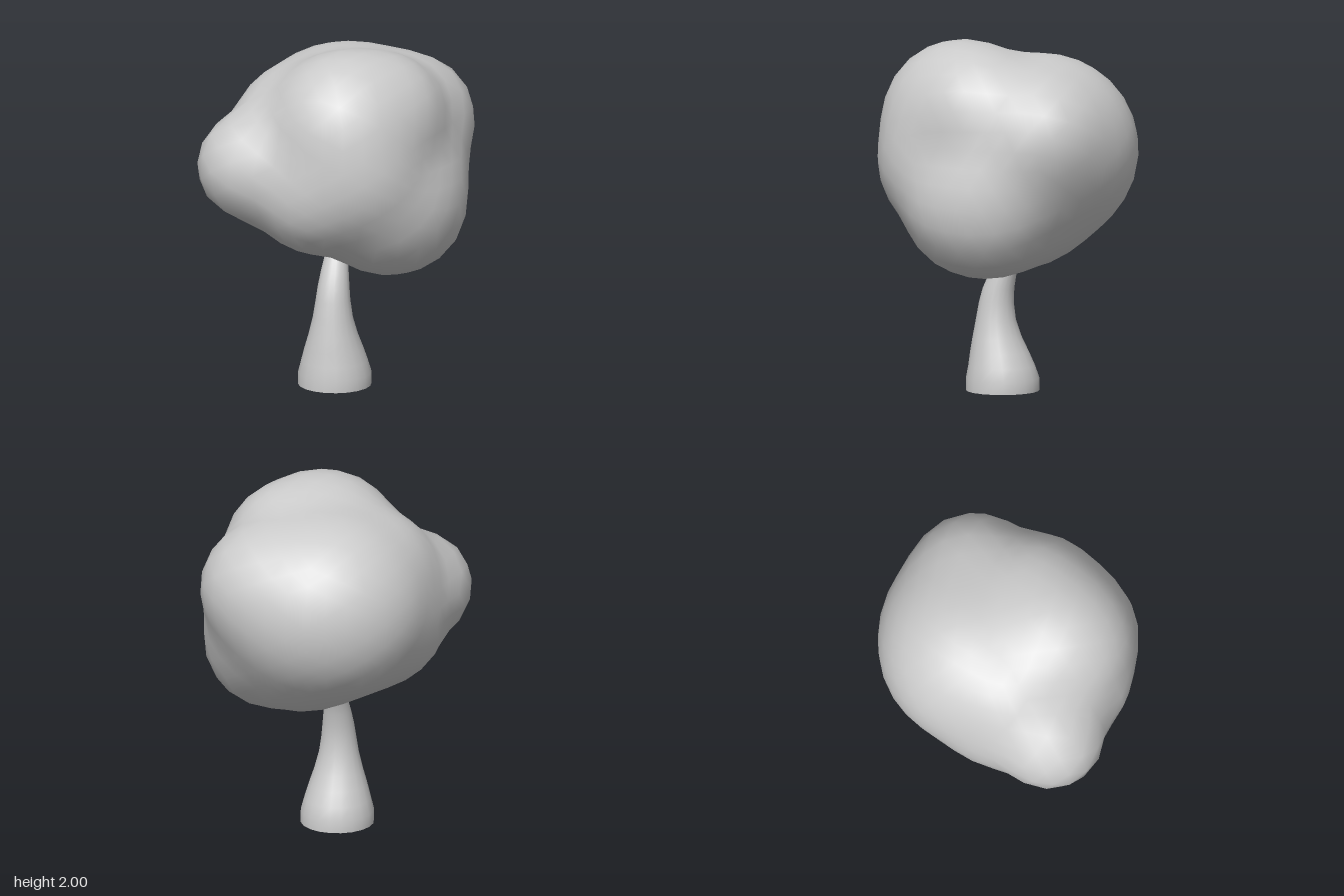
import * as THREE from 'three';
import { mergeVertices } from 'three/addons/utils/BufferGeometryUtils.js';

const material = new THREE.MeshStandardMaterial({ color: 0xcccccc });

// Weld seams so that the recomputed normals are smooth everywhere
function weld(geometry) {
  geometry.deleteAttribute('normal');
  geometry.deleteAttribute('uv');
  return mergeVertices(geometry, 1e-4);
}

// Foliage lobes: x, y, z, radius
const lobes = [
  [0.1, 1.56, 0.26, 0.435],    // upper front
  [0.28, 1.61, 0.1, 0.34],     // upper left
  [-0.42, 1.33, 0.37, 0.3],    // right-hand knob
  [-0.24, 1.24, 0.06, 0.39],   // filling behind and below the knob
  [-0.24, 1.5, 0.08, 0.33],    // filling above the knob
  [0.3, 1.1, 0.12, 0.4],       // low left
  [0.38, 1.04, -0.02, 0.31],   // lowest left corner
  [0.33, 1.25, -0.08, 0.355],  // left side
  [0.34, 1.5, -0.28, 0.345],   // back left
  [-0.05, 1.38, -0.18, 0.525], // back
  [0.1, 1.39, -0.25, 0.455],   // back middle
  [0.13, 1.13, -0.13, 0.385],  // underside
  [-0.03, 1.22, 0.34, 0.37],   // lower front
  [0.2, 1.32, 0.34, 0.35],     // middle front
];

// Smoothly blended distance to all the lobes
function distance(p) {
  const k = 0.05;
  let sum = 0;
  for (const [x, y, z, r] of lobes) {
    sum += Math.exp((r - Math.hypot(p.x - x, p.y - y, p.z - z)) / k);
  }
  return -k * Math.log(sum);
}

// Sphere whose vertices are pushed out along their rays to the blended surface
function crownGeometry() {
  const geometry = weld(new THREE.IcosahedronGeometry(1, 6));
  const pos = geometry.attributes.position;
  const centre = new THREE.Vector3(0, 1.35, 0.03);
  const dir = new THREE.Vector3();
  const p = new THREE.Vector3();
  for (let i = 0; i < pos.count; i++) {
    dir.fromBufferAttribute(pos, i).normalize();
    let near = 0, far = 1.2;
    for (let n = 0; n < 24; n++) {
      const mid = (near + far) / 2;
      p.copy(centre).addScaledVector(dir, mid);
      if (distance(p) < 0) near = mid; else far = mid;
    }
    pos.setXYZ(i, p.x, p.y, p.z);
  }
  geometry.computeVertexNormals();
  return geometry;
}

// Trunk rings: height, radius, centre z
const rings = [
  [0, 0.207, 0.05], [0.07, 0.207, 0.05], [0.14, 0.188, 0.056],
  [0.22, 0.165, 0.069], [0.3, 0.139, 0.082], [0.4, 0.113, 0.09],
  [0.5, 0.098, 0.087], [0.58, 0.089, 0.074], [0.66, 0.078, 0.05],
  [0.74, 0.066, 0.018], [0.85, 0.055, -0.04],
];

function trunkGeometry() {
  const steps = rings.length - 1;
  const geometry = weld(new THREE.CylinderGeometry(1, 1, steps, 20, steps, true));
  const pos = geometry.attributes.position;
  for (let i = 0; i < pos.count; i++) {
    const [y, r, z] = rings[Math.round(pos.getY(i) + steps / 2)];
    pos.setXYZ(i, pos.getX(i) * r - 0.02, y, pos.getZ(i) * r + z);
  }
  geometry.computeVertexNormals();
  return geometry;
}

export function createModel() {
  const group = new THREE.Group();
  group.name = 'tree';
  const add = (name, geometry) => {
    const mesh = new THREE.Mesh(geometry, material);
    mesh.name = name;
    group.add(mesh);
    return mesh;
  };

  add('crown', crownGeometry());
  add('trunk', trunkGeometry());

  // Flat underside of the trunk
  const base = add('trunkBase', new THREE.CircleGeometry(0.207, 20));
  base.rotation.x = Math.PI / 2;
  base.position.set(-0.02, 0, 0.05);

  return group;
}
